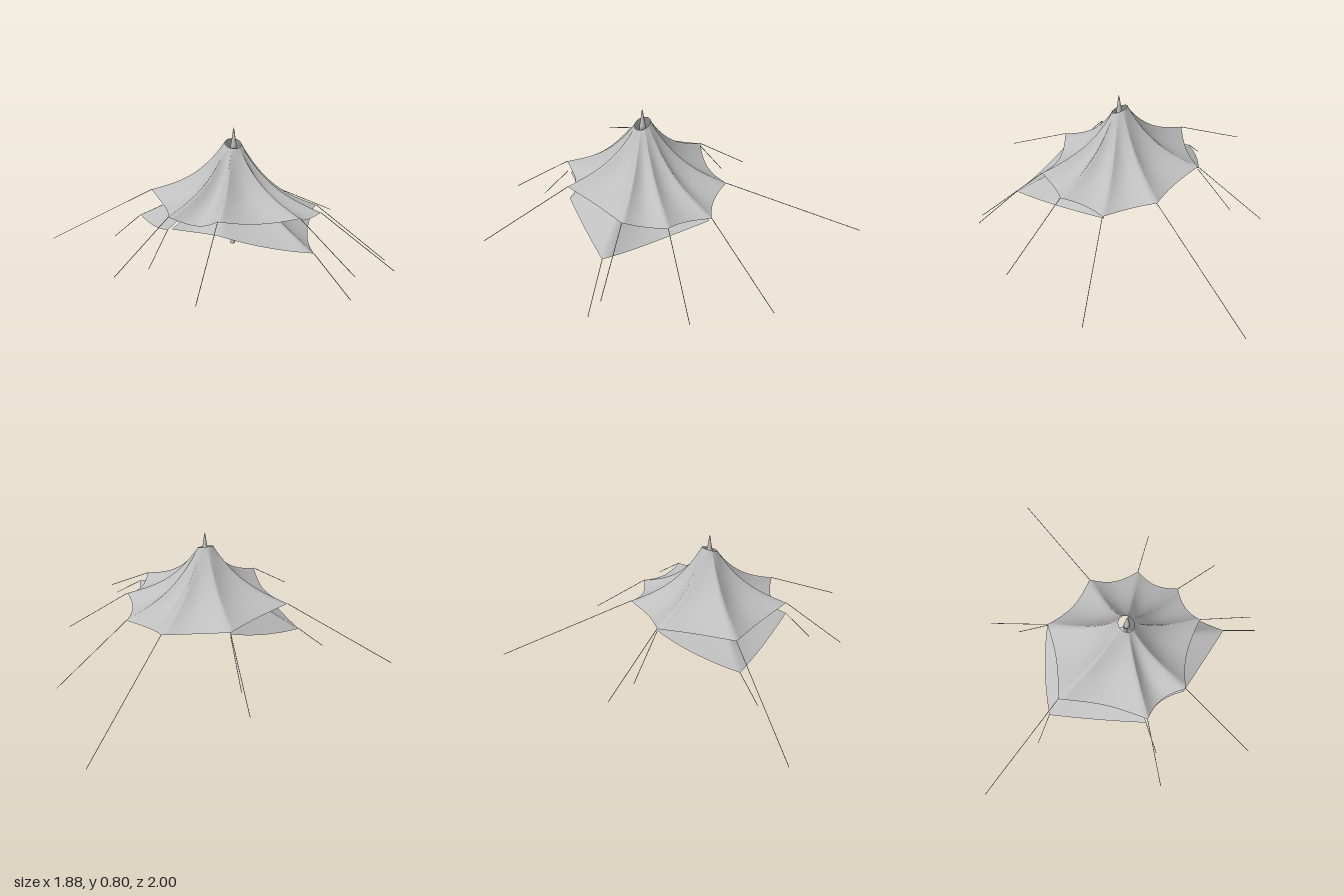
import * as THREE from 'three';

const APEX_X = 0.115, APEX_Z = 0.163;

const canvas = new THREE.MeshStandardMaterial({ color: 0xbfbfbf, side: THREE.DoubleSide });
canvas.name = 'grey canvas';

// Cloth stretched from the neck ring to a row of hem corners [x, y, z].
// Each panel has its own hem sag (down) and tuck (towards the pole);
// bend is how far the cloth curves from a straight cone.
function sheet(name, corners, panels, neckRadius, neckY, bend) {
  const across = 14, down = 24, positions = [], indices = [];
  const columns = panels.length * across;
  const slope = f => bend * Math.pow(1 - f, 3.2) + (1 - bend) * (1 - f);
  for (let i = 0; i <= columns; i++) {
    const p = Math.min(Math.floor(i / across), panels.length - 1);
    const u = i / across - p, bow = 4 * u * (1 - u);
    const a = corners[p], b = corners[(p + 1) % corners.length];
    const [sag, tuck] = panels[p];
    let dx = a[0] + (b[0] - a[0]) * u - APEX_X;
    let dz = a[2] + (b[2] - a[2]) * u - APEX_Z;
    const r = Math.hypot(dx, dz);
    dx /= r; dz /= r;
    const hemR = r - tuck * bow;
    const hemY = a[1] + (b[1] - a[1]) * u - sag * bow;
    // The neck opening leans towards the front left
    const topY = neckY - 0.018 * (dx * 0.6 + dz * 0.8);
    for (let j = 0; j <= down; j++) {
      const f = Math.pow(j / down, 1.3);
      const valley = 1 - 0.06 * bow * Math.sin(Math.PI * f);
      const rad = (neckRadius + (hemR - neckRadius) * f) * valley;
      positions.push(APEX_X + dx * rad, hemY + (topY - hemY) * slope(f), APEX_Z + dz * rad);
    }
  }
  const closed = panels.length === corners.length;
  for (let i = 0; i < columns; i++) {
    const n = closed ? (i + 1) % columns : i + 1;
    for (let j = 0; j < down; j++) {
      const a = i * (down + 1) + j, b = n * (down + 1) + j;
      indices.push(a, a + 1, b, b, a + 1, b + 1);
    }
  }
  const geometry = new THREE.BufferGeometry();
  geometry.setAttribute('position', new THREE.Float32BufferAttribute(positions, 3));
  geometry.setIndex(indices);
  geometry.computeVertexNormals();
  const mesh = new THREE.Mesh(geometry, canvas);
  mesh.name = name;
  return mesh;
}

// Thin straight rope between two points
function rope(from, to) {
  const path = new THREE.LineCurve3(new THREE.Vector3(...from), new THREE.Vector3(...to));
  const mesh = new THREE.Mesh(new THREE.TubeGeometry(path, 1, 0.0018, 6), canvas);
  mesh.name = 'guyRope';
  return mesh;
}

export function createModel() {
  const tent = new THREE.Group();
  tent.name = 'tent';

  // Hem corners of the roof, running round from the right side to the front
  const right = [-0.35, 0.435, 0.19], backRight = [-0.14, 0.425, -0.18];
  const back = [0.215, 0.388, -0.26], backLeft = [0.47, 0.358, -0.14];
  const left = [0.565, 0.392, 0.09], frontLeft = [0.53, 0.42, 0.31];
  const front = [0.21, 0.435, 0.56], frontRight = [-0.05, 0.425, 0.56];
  tent.add(sheet('roof',
    [right, backRight, back, backLeft, left, frontLeft, front, frontRight],
    [[0.01, 0.02], [0.02, 0.03], [0.015, 0.03], [0.01, 0.03],
      [0.025, 0.02], [0.03, 0.03], [0.045, 0.04], [0.03, 0.03]],
    0.042, 0.722, 0.5));

  // Longer flaps hanging under the roof
  const rightTip = [-0.42, 0.285, 0.195], leftTip = [0.635, 0.295, 0.415];
  const rightEnd = [-0.055, 0.36, 0.56];
  tent.add(sheet('rightFlap',
    [[-0.14, 0.415, -0.18], rightTip, rightEnd],
    [[0.01, -0.02], [0.02, 0.0]], 0.013, 0.66, 0.3));
  tent.add(sheet('leftFlap',
    [[0.455, 0.335, -0.13], leftTip, [0.21, 0.365, 0.555], [-0.04, 0.36, 0.545]],
    [[0.035, 0.03], [0.015, 0.0], [0.01, 0.03]], 0.013, 0.66, 0.3));

  // Centre pole with its pointed tip
  const pole = new THREE.Mesh(new THREE.CylinderGeometry(0.011, 0.012, 0.51, 16), canvas);
  pole.name = 'pole';
  pole.position.set(APEX_X, 0.445, APEX_Z);
  const tip = new THREE.Mesh(new THREE.LatheGeometry([
    [0, 0.69], [0.016, 0.69], [0.015, 0.715], [0.009, 0.75], [0.004, 0.79], [0, 0.805]
  ].map(p => new THREE.Vector2(...p)), 16), canvas);
  tip.name = 'poleTip';
  tip.position.set(APEX_X + 0.003, 0, APEX_Z);
  tent.add(pole, tip);

  // Guy ropes from the corners to the ground pegs
  const ropes = [
    [right, [-0.94, 0.105, 0.29]], [rightTip, [-0.55, 0.163, 0.255]],
    [backRight, [-0.34, 0.15, -0.48]], [[-0.14, 0.41, -0.18], [-0.25, 0.173, -0.33]],
    [back, [0.305, 0.07, -1]], [backLeft, [0.8, 0.002, -0.4]],
    [left, [0.94, 0.12, 0.04]], [frontLeft, [0.84, 0.22, 0.437]],
    [leftTip, [0.84, 0.132, 0.5]], [front, [0.31, 0.21, 1]],
    [frontRight, [-0.18, 0.203, 0.85]], [rightEnd, [-0.085, 0.203, 0.7]]
  ];
  for (const [from, to] of ropes) tent.add(rope(from, to));
  return tent;
}
